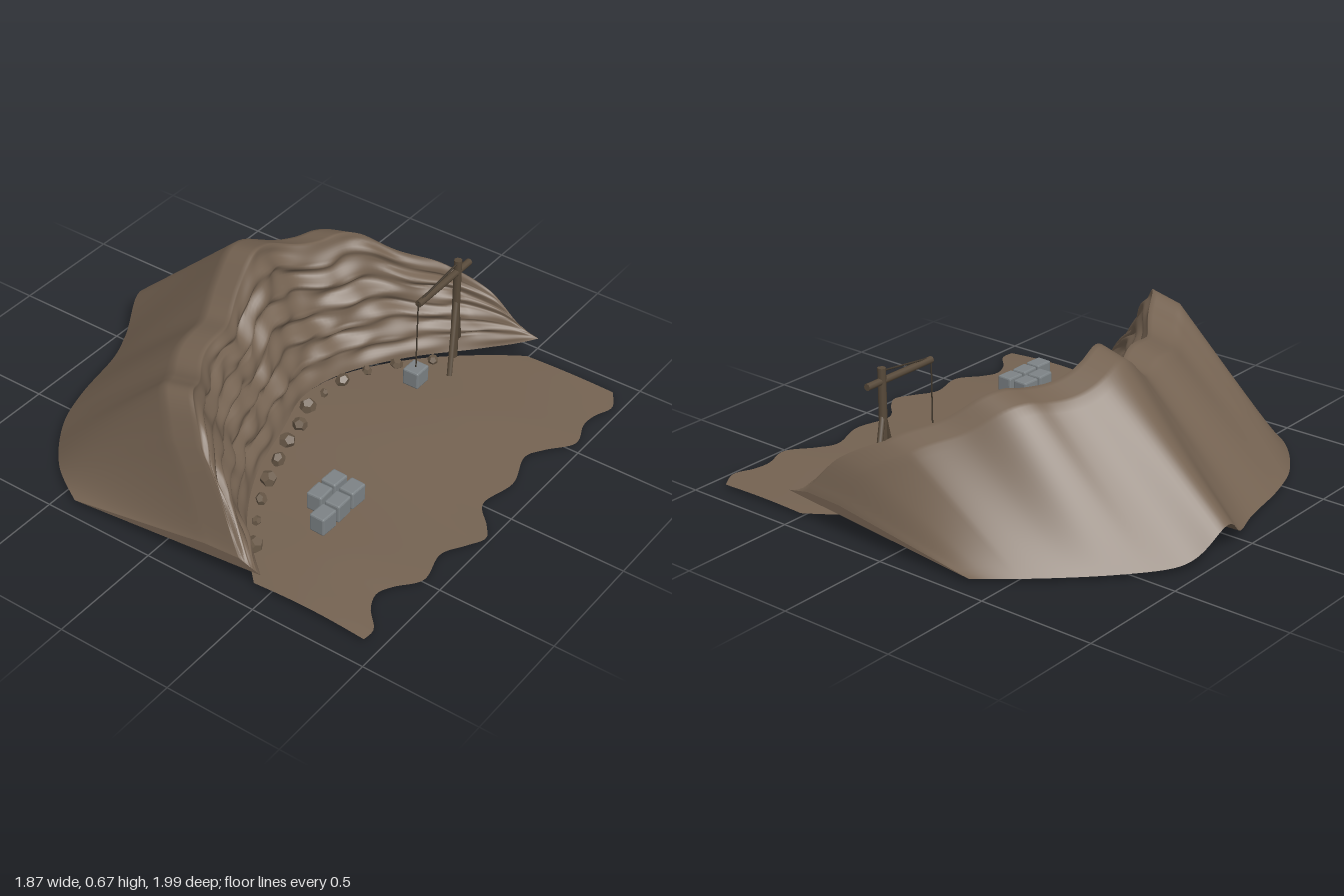
import * as THREE from 'three';
import { RoundedBoxGeometry } from 'three/addons/geometries/RoundedBoxGeometry.js';

// Smooth value lookup through a few (x, value) points
function profile(...pts) {
  const c = new THREE.SplineCurve(pts.map(p => new THREE.Vector2(p[0], p[1]))).getPoints(500);
  return x => {
    if (x <= c[0].x) return c[0].y;
    for (let i = 1; i < c.length; i++) {
      const a = c[i - 1], b = c[i];
      if (x <= b.x) return a.y + (b.y - a.y) * (x - a.x) / Math.max(b.x - a.x, 1e-6);
    }
    return c[c.length - 1].y;
  };
}

// Surface from cross-sections: fn(u, v) gives a point, u to the right, v from front to back
function sheet(nu, nv, fn) {
  const pos = [], idx = [];
  for (let j = 0; j <= nv; j++)
    for (let i = 0; i <= nu; i++) {
      pos.push(...fn(i / nu, j / nv));
      if (i < nu && j < nv) {
        const a = j * (nu + 1) + i, d = a + nu + 1;
        idx.push(a, a + 1, d + 1, a, d + 1, d);
      }
    }
  const g = new THREE.BufferGeometry();
  g.setAttribute('position', new THREE.Float32BufferAttribute(pos, 3));
  g.setIndex(idx);
  g.computeVertexNormals();
  return g;
}

export function createModel() {
  const model = new THREE.Group();
  model.name = 'quarry';
  const mat = (name, color, extra = {}) => {
    const m = new THREE.MeshStandardMaterial({ color, ...extra });
    m.name = name;
    return m;
  };
  const earth = mat('earth brown', 0x756352, { side: THREE.DoubleSide });
  const rubble = mat('rubble brown', 0x695948, { flatShading: true });
  const stone = mat('cut stone grey', 0x7d8386, { flatShading: true });
  const wood = mat('timber brown', 0x584a3a);
  const rope = mat('rope dark', 0x40372c);

  const add = (name, geo, material, parent = model) => {
    const m = new THREE.Mesh(geo, material);
    m.name = name;
    parent.add(m);
    return m;
  };

  // Plan and height profiles of the cliff
  const footZ = profile([-0.93, 0.47], [-0.8, 0.34], [-0.65, 0.2], [-0.4, 0.06], [-0.1, -0.03],
    [0.12, -0.09], [0.35, -0.04], [0.6, 0.13], [0.8, 0.35], [0.93, 0.54]);
  const footY = profile([-0.93, 0.085], [-0.85, 0.06], [-0.7, 0.033], [-0.4, 0.025], [0, 0.022],
    [0.4, 0.025], [0.7, 0.038], [0.85, 0.068], [0.93, 0.11]);
  const crestY = profile([-0.93, 0.12], [-0.91, 0.17], [-0.85, 0.36], [-0.8, 0.48], [-0.75, 0.565], [-0.69, 0.595],
    [-0.6, 0.555], [-0.48, 0.51], [-0.3, 0.53], [-0.15, 0.51], [-0.05, 0.575], [0.03, 0.645], [0.1, 0.67],
    [0.2, 0.64], [0.33, 0.585], [0.42, 0.575], [0.5, 0.585], [0.58, 0.56], [0.68, 0.47], [0.8, 0.4],
    [0.88, 0.3], [0.92, 0.17], [0.93, 0.13]);
  const backZ = profile([-0.93, -0.42], [-0.8, -0.61], [-0.6, -0.765], [-0.4, -0.84], [-0.15, -0.89],
    [0, -0.945], [0.17, -1], [0.35, -0.945], [0.55, -0.795], [0.75, -0.595], [0.93, -0.38]);
  const backY = x => 0.02 + 0.12 * Math.exp(-(((x - 0.17) / 0.12) ** 2));

  const mix = THREE.MathUtils.lerp;
  const sectionX = u => -0.93 * Math.cos(Math.PI * u);
  // The left-hand end leans outward towards the back
  const lean = (x, z) => x < 0 ? x * (0.995 - 0.018 * z / 0.45) : x;

  // Cliff: broken layers on the front face, a shoulder, then a long back slope
  const split = 0.7;
  const cliffPoint = (u, v) => {
    const x = sectionX(u), zf = footZ(x), yf = footY(x), yc = crestY(x), zb = backZ(x), yb = backY(x);
    const endFade = Math.min(1, (0.93 - Math.abs(x)) / 0.12);
    const zc = zf - 0.1 - 0.135 * endFade + 0.012 * endFade * Math.sin(x * 19);
    let y, z;
    if (v <= split) {
      const t = v / split;
      const fade = Math.min(1, t * 6, (1 - t) * 6) * endFade;
      const layer = Math.sin(t * 37 + 1.5 * Math.sin(x * 5)) * (0.55 + 0.45 * Math.sin(x * 15 + Math.floor(t * 6) * 2.3));
      const lump = 0.008 * Math.sin(x * 23 + t * 7) + 0.005 * Math.sin(x * 41 - t * 19);
      y = mix(yf, yc, t);
      z = mix(zf, zc, t) + fade * (0.024 * layer + lump);
    } else {
      const s = (v - split) / (1 - split);
      const zs = mix(zc, zb, 0.2), ys = mix(yc, yb, 0.06);
      const k = s < 0.25 ? s * 4 : (s - 0.25) / 0.75;
      [y, z] = s < 0.25 ? [mix(yc, ys, k), mix(zc, zs, k)] : [mix(ys, yb, k), mix(zs, zb, k)];
    }
    return [lean(x, z), y, z];
  };
  add('cliff', sheet(160, 80, cliffPoint), earth);

  // Underside of the cliff, from the back edge to the foot
  add('cliffUnderside', sheet(160, 8, (u, v) => {
    const x = sectionX(u), z = mix(backZ(x), footZ(x), v);
    return [lean(x, z), mix(backY(x), footY(x), v), z];
  }), earth);

  // Thin closing faces at both ends of the cliff
  for (const u of [0, 1]) {
    const x = sectionX(u), zf = footZ(x), zb = backZ(x);
    add('cliffEnd', sheet(1, 80, (s, v) => {
      const [px, py, pz] = cliffPoint(u, v);
      const base = mix(footY(x), backY(x), (zf - pz) / (zf - zb));
      return [px, mix(py, base, u ? 1 - s : s), pz];
    }), earth);
  }

  // Quarry floor with a ragged front edge
  const floorFront = profile([-0.9, 0.93], [-0.83, 0.93], [-0.75, 0.86], [-0.67, 0.83], [-0.6, 0.86], [-0.5, 0.93],
    [-0.35, 0.9], [-0.25, 0.95], [-0.17, 0.99], [-0.1, 0.95], [0, 0.87], [0.17, 0.9], [0.33, 0.85],
    [0.42, 0.89], [0.53, 0.97], [0.65, 0.935], [0.73, 0.94], [0.82, 0.97], [0.91, 0.92]);
  add('quarryFloor', sheet(90, 10, (u, v) => {
    const x = mix(-0.895, 0.91, u);
    return [x, 0.013 + 0.014 * Math.sin(Math.PI * v) * (0.6 + 0.4 * Math.sin(x * 6)), mix(floorFront(x), footZ(x) - 0.008, v)];
  }), earth);

  // Rubble along the foot of the cliff: x, z, radius
  const boulders = new THREE.Group();
  boulders.name = 'rubble';
  model.add(boulders);
  [[-0.74, 0.31, 0.038], [-0.62, 0.23, 0.022], [-0.51, 0.17, 0.028], [-0.4, 0.12, 0.036], [-0.28, 0.08, 0.033],
    [-0.165, 0.037, 0.037], [-0.05, 0.016, 0.033], [0.063, -0.026, 0.037], [0.18, -0.03, 0.021],
    [0.29, -0.016, 0.033], [0.41, 0.026, 0.024], [0.52, 0.1, 0.03], [0.635, 0.206, 0.024]
  ].forEach(([x, z, r], i) => {
    const b = add('boulder', new THREE.DodecahedronGeometry(r), rubble, boulders);
    b.position.set(x, 0.016 + r * 0.5, z);
    b.rotation.set(i * 1.3, i * 2.1, i * 0.7);
    b.scale.y = 0.85;
  });

  // Stack of cut blocks with bevelled edges
  const block = (parent, x, y, z, w, h, d, turn) => {
    const m = add('cutBlock', new RoundedBoxGeometry(w, h, d, 1, 0.007), stone, parent);
    m.position.set(x, y, z);
    m.rotation.y = turn;
  };
  const stack = new THREE.Group();
  stack.name = 'blockStack';
  model.add(stack);
  [[-0.57, 0.51], [-0.475, 0.51], [-0.38, 0.51], [-0.475, 0.425], [-0.38, 0.425]].forEach(([x, z], i) =>
    block(stack, x, 0.142, z, 0.083, 0.08, 0.069, i % 2 ? 0.03 : -0.04));

  // Crane: mast, boom, two struts, ropes and hanging block
  const crane = new THREE.Group();
  crane.name = 'crane';
  model.add(crane);
  const pole = (name, a, b, r, material = wood) => {
    const from = new THREE.Vector3(...a), to = new THREE.Vector3(...b);
    const m = add(name, new THREE.CylinderGeometry(r, r, from.distanceTo(to), 8), material, crane);
    m.position.copy(from).lerp(to, 0.5);
    m.quaternion.setFromUnitVectors(new THREE.Vector3(0, 1, 0), to.sub(from).normalize());
  };
  const z = 0.31;
  pole('mast', [0.63, 0.1, z], [0.63, 0.585, z], 0.017);
  pole('boom', [0.345, 0.53, z], [0.715, 0.53, z], 0.015);
  pole('strut', [0.628, 0.39, z], [0.505, 0.1, 0.372], 0.012);
  pole('strut', [0.632, 0.39, z], [0.745, 0.11, 0.258], 0.012);
  pole('stayRope', [0.63, 0.572, z], [0.345, 0.538, z], 0.004, rope);
  pole('liftRope', [0.345, 0.53, z], [0.345, 0.21, z], 0.003, rope);
  block(crane, 0.345, 0.178, z, 0.082, 0.077, 0.075, 0);

  return model;
}
